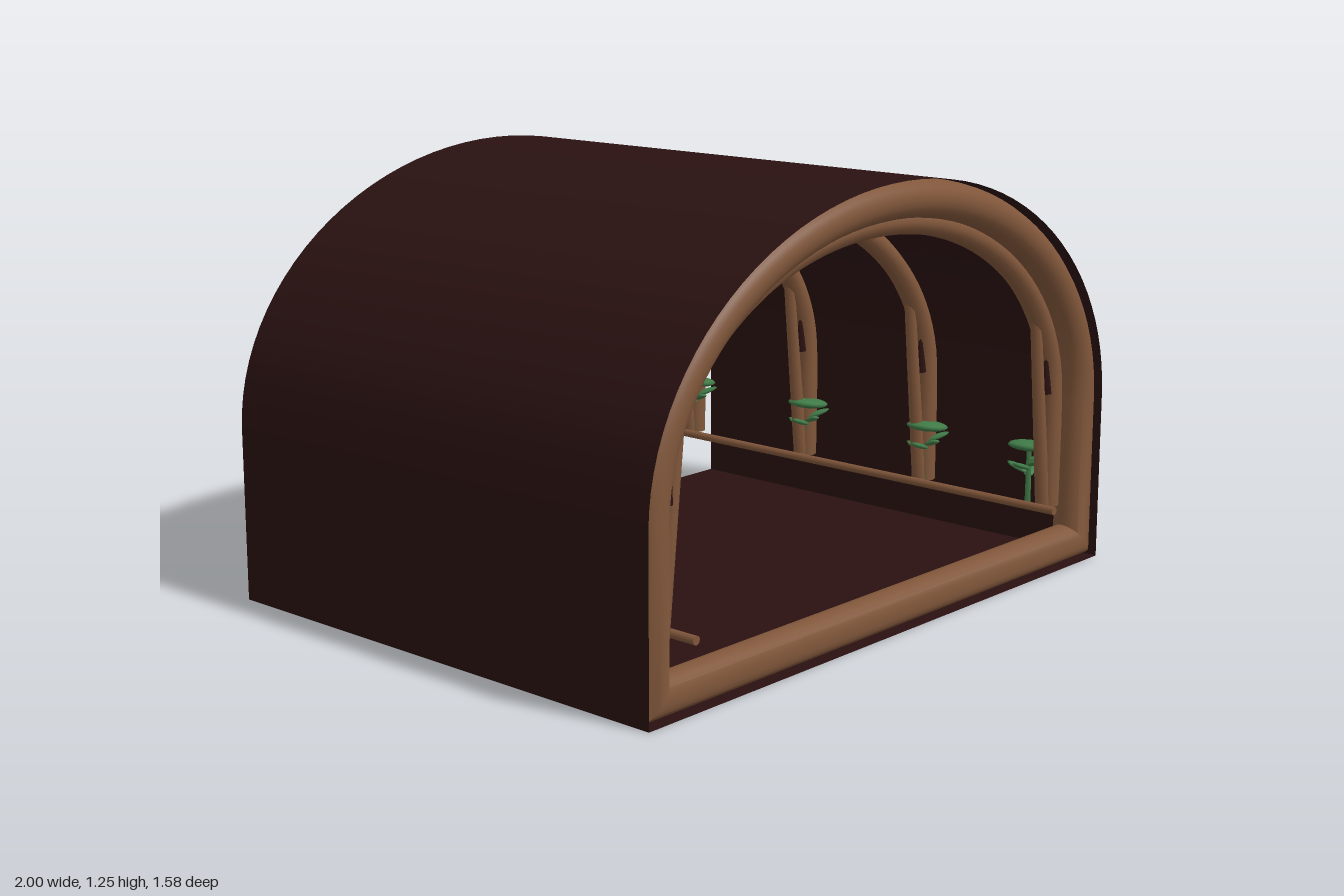
import * as THREE from 'three';
import { toCreasedNormals } from 'three/addons/utils/BufferGeometryUtils.js';

const SHOULDER = 0.5, TOP = 1.245, BACK = -0.775, FRONT = 0.79;

// Points of the tunnel outline, inset by d: right wall, arch, left wall
function outline(d, foot = d, steps = 48) {
  const w = 1 - d, h = TOP - SHOULDER - d, pts = [[w, foot]];
  for (let i = 0; i <= steps; i++) {
    const a = Math.PI * i / steps;
    pts.push([w * Math.cos(a), SHOULDER + h * Math.sin(a)]);
  }
  pts.push([-w, foot]);
  return pts;
}

// Skin between closed outlines, each given as an inset and a depth
function loft(sections) {
  const pos = [], idx = [];
  const n = outline(0).length + 1;
  for (const [inset, z] of sections) {
    const pts = outline(inset);
    pts.push(pts[0]);
    for (const [x, y] of pts) pos.push(x, y, z);
  }
  for (let j = 0; j < sections.length - 1; j++) {
    for (let i = 0; i < n - 1; i++) {
      const a = j * n + i, b = a + 1, c = a + n, d = c + 1;
      idx.push(a, b, c, b, d, c);
    }
  }
  const geo = new THREE.BufferGeometry();
  geo.setAttribute('position', new THREE.Float32BufferAttribute(pos, 3));
  geo.setIndex(idx);
  return toCreasedNormals(geo, 0.7);
}

function material(name, color, side = THREE.FrontSide) {
  const m = new THREE.MeshStandardMaterial({ color, side });
  m.name = name;
  return m;
}

export function createModel() {
  const model = new THREE.Group();
  model.name = 'archedTunnel';
  const earth = material('darkEarth', 0x2a1111, THREE.DoubleSide);
  const wood = material('brownWood', 0x80563a);
  const green = material('leafGreen', 0x3f7a47, THREE.DoubleSide);

  function add(parent, name, geo, mat, x = 0, y = 0, z = 0) {
    const mesh = new THREE.Mesh(geo, mat);
    mesh.name = name;
    mesh.position.set(x, y, z);
    parent.add(mesh);
    return mesh;
  }

  // Thin shell with floor, open at both ends
  add(model, 'tunnelShell', loft([[0, BACK], [0, FRONT]]), earth);

  // Round wooden frame around the front opening, with mitred lower corners
  const r = 0.054, ring = [];
  for (let j = 0; j <= 20; j++) {
    const a = Math.PI * 2 * j / 20;
    ring.push([0.056 - r * Math.cos(a), FRONT - 0.056 + r * Math.sin(a)]);
  }
  add(model, 'frontFrame', loft(ring), wood);

  // Shared rib, brace and leaf geometries
  const ribPath = new THREE.CatmullRomCurve3(
    outline(0.125, 0.17, 20).map(([x, y]) => new THREE.Vector3(x, y, 0)));
  const ribGeo = new THREE.TubeGeometry(ribPath, 80, 0.035, 10);
  const endGeo = new THREE.CircleGeometry(0.035, 10).rotateX(Math.PI / 2);
  const braceGeo = new THREE.CylinderGeometry(0.017, 0.022, 0.6, 8);
  const wedgeGeo = new THREE.ConeGeometry(0.016, 0.18, 6);
  const capGeo = new THREE.SphereGeometry(1, 14, 8).scale(0.065, 0.016, 0.065);
  const leafGeo = new THREE.SphereGeometry(1, 8, 6).scale(0.04, 0.008, 0.018).translate(0.035, 0, 0);
  const stemGeo = new THREE.CylinderGeometry(0.008, 0.01, 0.19, 6);

  for (const z of [-0.738, -0.25, 0.23, 0.69]) {
    const rib = new THREE.Group();
    rib.name = 'rib';
    rib.position.z = z;
    model.add(rib);
    add(rib, 'ribArch', ribGeo, wood);

    for (const s of [1, -1]) {
      add(rib, 'ribFoot', endGeo, wood, s * 0.875, 0.17, 0);
      // Leaning brace and the dark wedge behind it
      add(rib, 'brace', braceGeo, wood, s * 0.815, 0.468, 0).rotation.z = s * 0.115;
      add(rib, 'wedge', wedgeGeo, earth, s * 0.83, 0.61, 0.01).rotation.z = s * 0.08;

      // Small plant at the foot
      const plant = new THREE.Group();
      plant.name = 'plant';
      plant.position.set(s * 0.86, 0.17, z > 0.5 ? -0.06 : 0.02);
      rib.add(plant);
      add(plant, 'stem', stemGeo, green, 0, 0.095, 0);
      add(plant, 'topLeaf', capGeo, green, 0, 0.175, 0).rotation.z = -s * 0.12;
      for (let k = 0; k < 5; k++) {
        const leaf = add(plant, 'lowLeaf', leafGeo, green, 0, 0.08 + 0.012 * k, 0);
        leaf.rotation.set(0, k * Math.PI * 0.4 + 0.5, 0.35);
      }
    }
  }

  // Low rails along both walls
  const railGeo = new THREE.CylinderGeometry(0.013, 0.013, 1.53, 8).rotateX(Math.PI / 2);
  for (const s of [1, -1]) add(model, 'rail', railGeo, wood, s * 0.8, 0.177, 0);

  return model;
}
